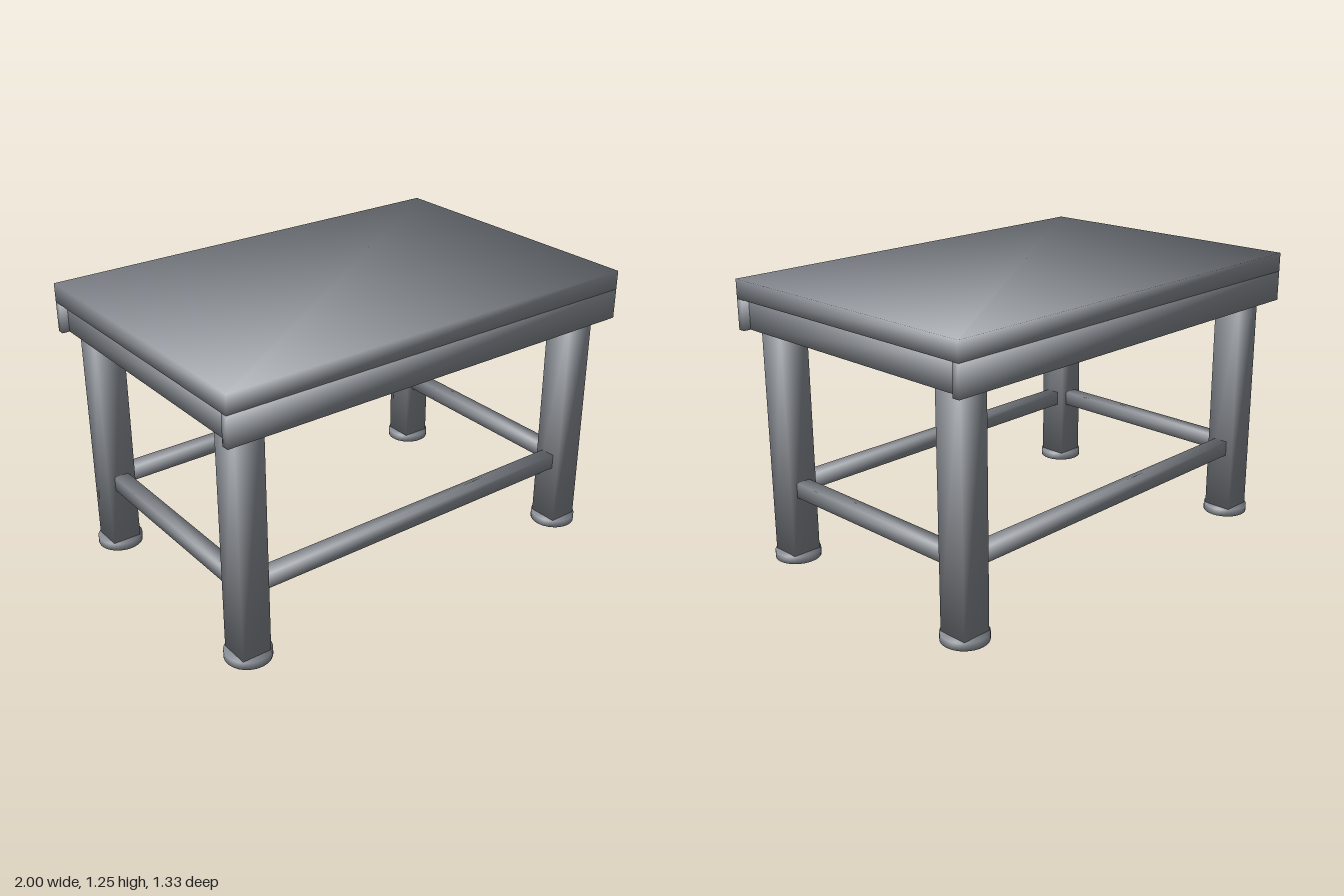
import * as THREE from 'three';
import { toCreasedNormals } from 'three/addons/utils/BufferGeometryUtils.js';

export function createModel() {
  const group = new THREE.Group();
  const material = new THREE.MeshStandardMaterial({ color: 0x888d94 });

  // Every part is shaded smoothly across its edges
  const add = (name, geometry, x, y, z) => {
    const mesh = new THREE.Mesh(toCreasedNormals(geometry, Math.PI), material);
    mesh.name = name;
    mesh.position.set(x, y, z);
    group.add(mesh);
  };
  // Box given by its size, its bottom height and its centre in plan
  const box = (name, w, h, d, x, bottom, z) =>
    add(name, new THREE.BoxGeometry(w, h, d), x, bottom + h / 2, z);

  const legX = 0.867, legZ = 0.535, legW = 0.133;
  const apronY = 1.035, topY = 1.168, board = 0.033, rail = 0.067;

  // Table top
  box('tableTop', 2, 0.084, 1.333, 0, topY, 0);

  for (const s of [-1, 1]) {
    const side = s > 0 ? 'Left' : 'Right';
    const end = s > 0 ? 'front' : 'back';

    // Long aprons run the full width; short ones sit between them, slightly inset
    box(end + 'Apron', 2, topY - apronY, board, 0, apronY, s * 0.65);
    box('side' + side + 'Apron', board, topY - apronY, 1.267, s * 0.95, apronY, 0);

    // Stretchers between the legs
    box(end + 'Stretcher', 2 * legX - legW, rail, rail, 0, 0.302, s * legZ);
    box('side' + side + 'Stretcher', rail, rail, 2 * legZ - legW, s * legX, 0.302, 0);

    // Square legs on round feet
    for (const t of [-1, 1]) {
      const name = (t > 0 ? 'front' : 'back') + side;
      box(name + 'Leg', legW, topY - 0.033, legW, s * legX, 0.033, t * legZ);
      add(name + 'Foot', new THREE.CylinderGeometry(0.1, 0.1, 0.033, 32), s * legX, 0.0165, t * legZ);
    }
  }
  return group;
}
